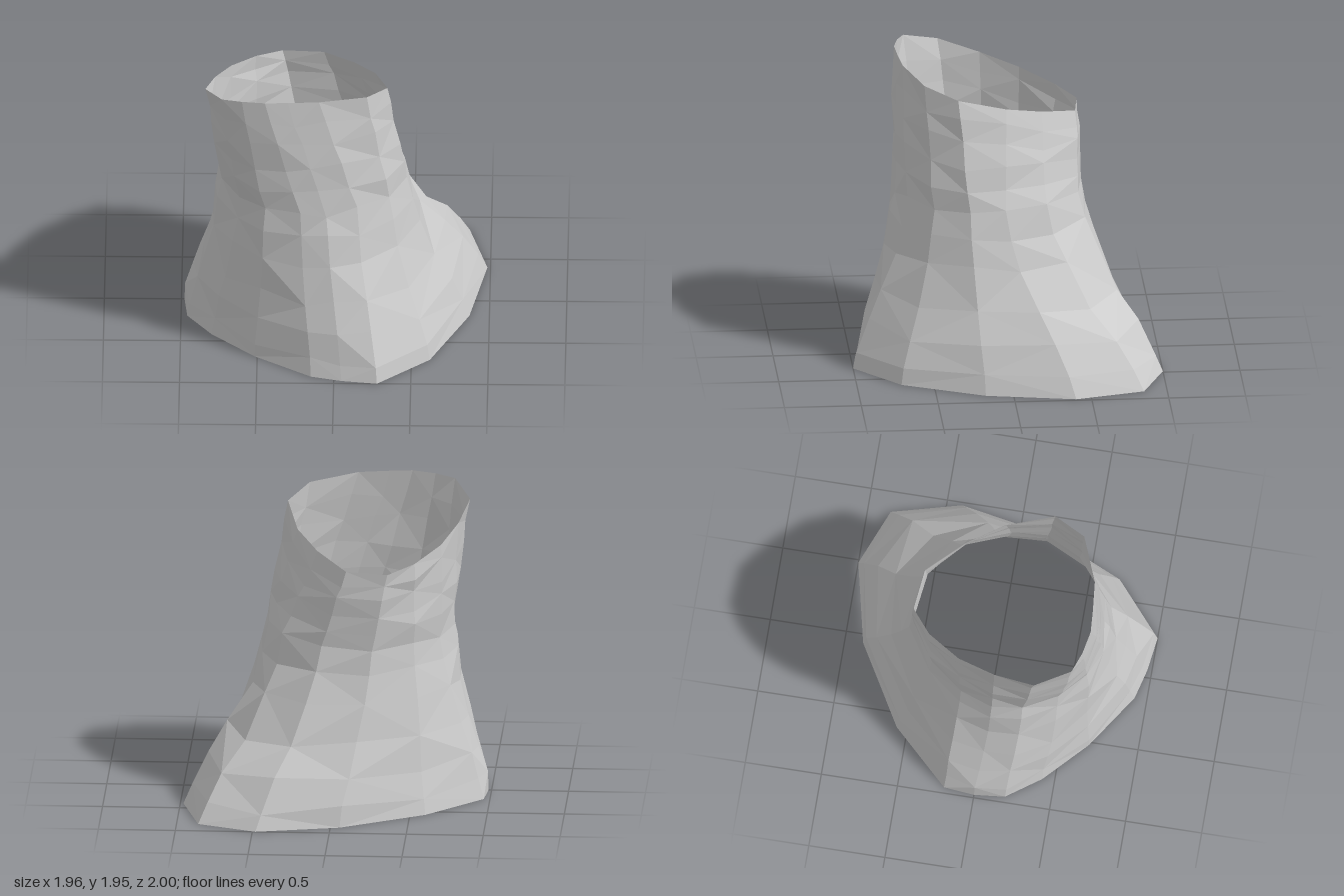
import * as THREE from 'three';

// Matching [x, z] points round the foot, the waist and the rim
const foot = [[0.98, -0.4], [0.87, 0.18], [0.62, 0.71], [0.28, 1], [0.05, 0.97], [-0.15, 0.92], [-0.52, 0.68], [-0.8, 0.42],
  [-0.96, 0.2], [-0.98, 0], [-0.96, -0.2], [-0.6, -0.57], [-0.06, -0.88], [0.48, -1], [0.86, -0.85]];
const waist = [[0.44, 0.02], [0.47, 0.25], [0.36, 0.48], [0.15, 0.64], [-0.05, 0.71], [-0.22, 0.72], [-0.45, 0.66], [-0.62, 0.5],
  [-0.74, 0.28], [-0.75, 0.08], [-0.68, -0.14], [-0.52, -0.36], [-0.25, -0.52], [0.08, -0.48], [0.34, -0.25]];
const rim = [[0.26, 0], [0.34, 0.32], [0.21, 0.53], [-0.1, 0.65], [-0.3, 0.67], [-0.45, 0.68], [-0.6, 0.65], [-0.73, 0.6],
  [-0.84, 0.37], [-0.78, 0.1], [-0.68, -0.15], [-0.52, -0.37], [-0.35, -0.5], [-0.08, -0.47], [0.12, -0.24]];

const WAIST_Y = 1.1;
const rimHeight = z => 1.75 + 0.297 * z; // slanted cut, lower at the back
const lerp = THREE.MathUtils.lerp;

// Small seeded noise in -1..1
function makeNoise(seed) {
  return () => {
    seed = (seed * 16807) % 2147483647;
    return (seed / 2147483647) * 2 - 1;
  };
}

function createTubeGeometry() {
  const noise = makeNoise(77);
  const n = foot.length;
  const rows = [];

  // Flaring skirt: [height, blend from foot to waist]
  for (const [y, f] of [[0, 0], [0.12, 0.08], [0.3, 0.3], [0.5, 0.53], [0.75, 0.78], [0.95, 0.92], [WAIST_Y, 1]]) {
    rows.push(foot.map(([x, z], i) => [lerp(x, waist[i][0], f), y, lerp(z, waist[i][1], f)]));
  }
  // Neck, rising to the slanted rim
  for (const f of [0.22, 0.42, 0.62, 0.82, 1]) {
    rows.push(waist.map(([x, z], i) => [
      lerp(x, rim[i][0], f), lerp(WAIST_Y, rimHeight(rim[i][1]), f), lerp(z, rim[i][1], f)]));
  }

  // Rough, irregular surface between the two clean edges
  const positions = [];
  rows.forEach((row, r) => row.forEach(([x, y, z]) => {
    const k = r === 0 || r === rows.length - 1 ? 0 : 1;
    const swell = 1 + 0.018 * k * noise();
    const lift = 0.03 * k * noise();
    positions.push(-0.14 + (x + 0.14) * swell, y + lift, 0.1 + (z - 0.1) * swell);
  }));

  // Faces with alternating diagonals
  const index = [];
  for (let r = 0; r < rows.length - 1; r++) {
    for (let i = 0; i < n; i++) {
      const j = (i + 1) % n;
      const a = r * n + i, b = r * n + j, c = a + n, d = b + n;
      if ((r + i) % 2) index.push(a, c, b, b, c, d);
      else index.push(a, c, d, a, d, b);
    }
  }

  const geometry = new THREE.BufferGeometry();
  geometry.setAttribute('position', new THREE.Float32BufferAttribute(positions, 3));
  geometry.setIndex(index);
  geometry.computeVertexNormals();
  return geometry;
}

export function createModel() {
  const group = new THREE.Group();
  group.name = 'flaredTube';
  const material = new THREE.MeshStandardMaterial({ color: 0xcccccc, flatShading: true, side: THREE.DoubleSide });
  const wall = new THREE.Mesh(createTubeGeometry(), material);
  wall.name = 'tubeWall';
  group.add(wall);
  return group;
}
